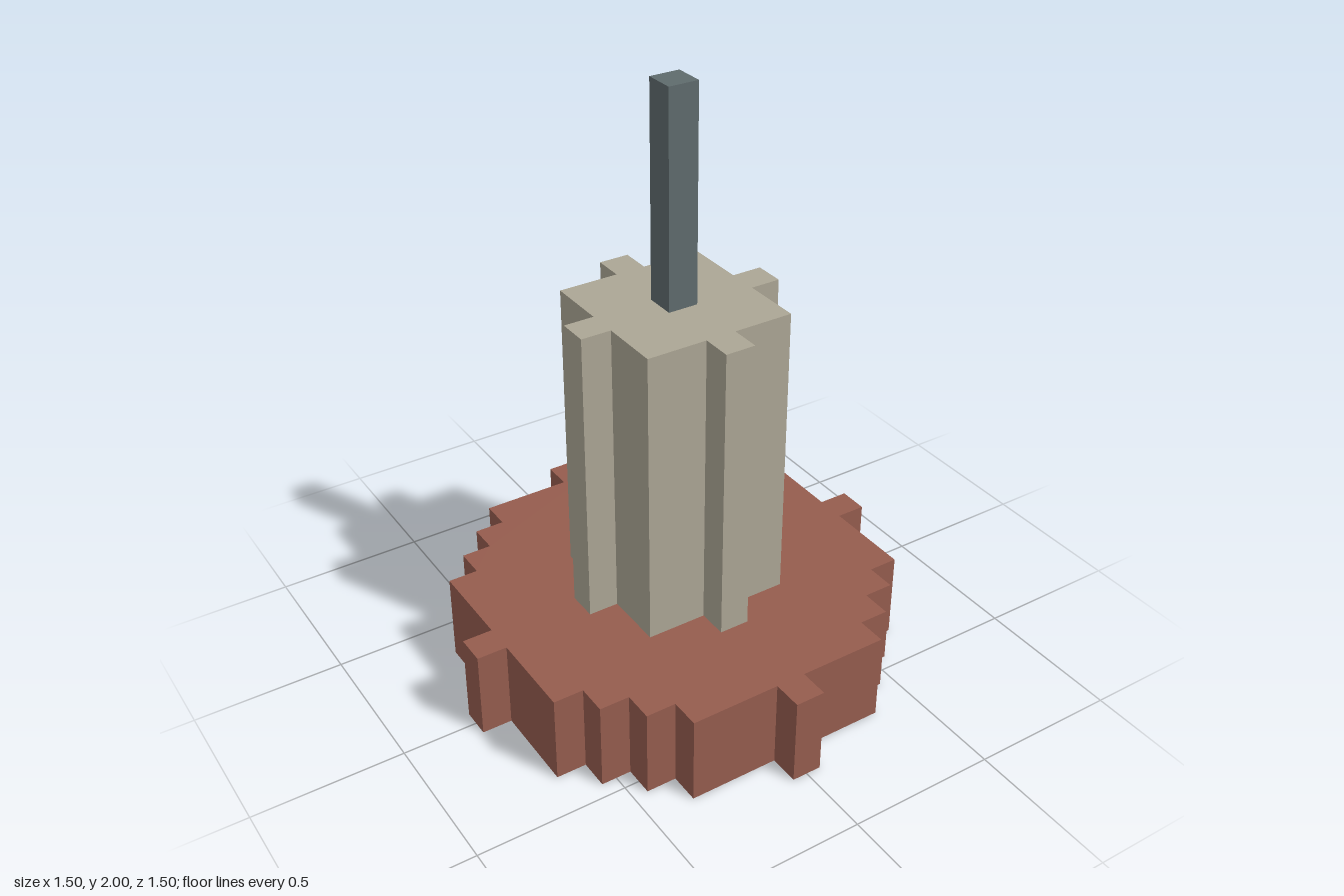
import * as THREE from 'three';

const CELL = 0.1;

// Outline of a disc rasterised on a square grid, radius counted in cells
function steppedDisc(radius) {
  const right = [];
  let last = null;
  for (let row = -radius; row <= radius; row++) {
    const half = (Math.floor(Math.sqrt(radius * radius - row * row)) + 0.5) * CELL;
    if (half !== last) {
      const y = (row - 0.5) * CELL;
      if (last !== null) right.push([last, y]);
      right.push([half, y]);
      last = half;
    }
  }
  right.push([last, (radius + 0.5) * CELL]);
  const left = right.map(([x, y]) => [-x, y]).reverse();
  return new THREE.Shape([...right, ...left].map(([x, y]) => new THREE.Vector2(x, y)));
}

// Upright prism of a stepped disc standing between two heights
function steppedPrism(name, radius, bottom, top, color) {
  const geometry = new THREE.ExtrudeGeometry(steppedDisc(radius), {
    depth: top - bottom,
    bevelEnabled: false,
  });
  geometry.rotateX(-Math.PI / 2);
  geometry.translate(0, bottom, 0);
  const mesh = new THREE.Mesh(geometry, new THREE.MeshStandardMaterial({ color }));
  mesh.name = name;
  return mesh;
}

export function createModel() {
  const model = new THREE.Group();
  model.name = 'steppedTower';

  // Wide base, stone column and single-cell mast, stacked
  model.add(
    steppedPrism('base', 7, 0, 0.3, 0x955c4e),
    steppedPrism('column', 3, 0.3, 1.3, 0xaca695),
    steppedPrism('mast', 0, 1.3, 2, 0x5f6b6d),
  );
  return model;
}
